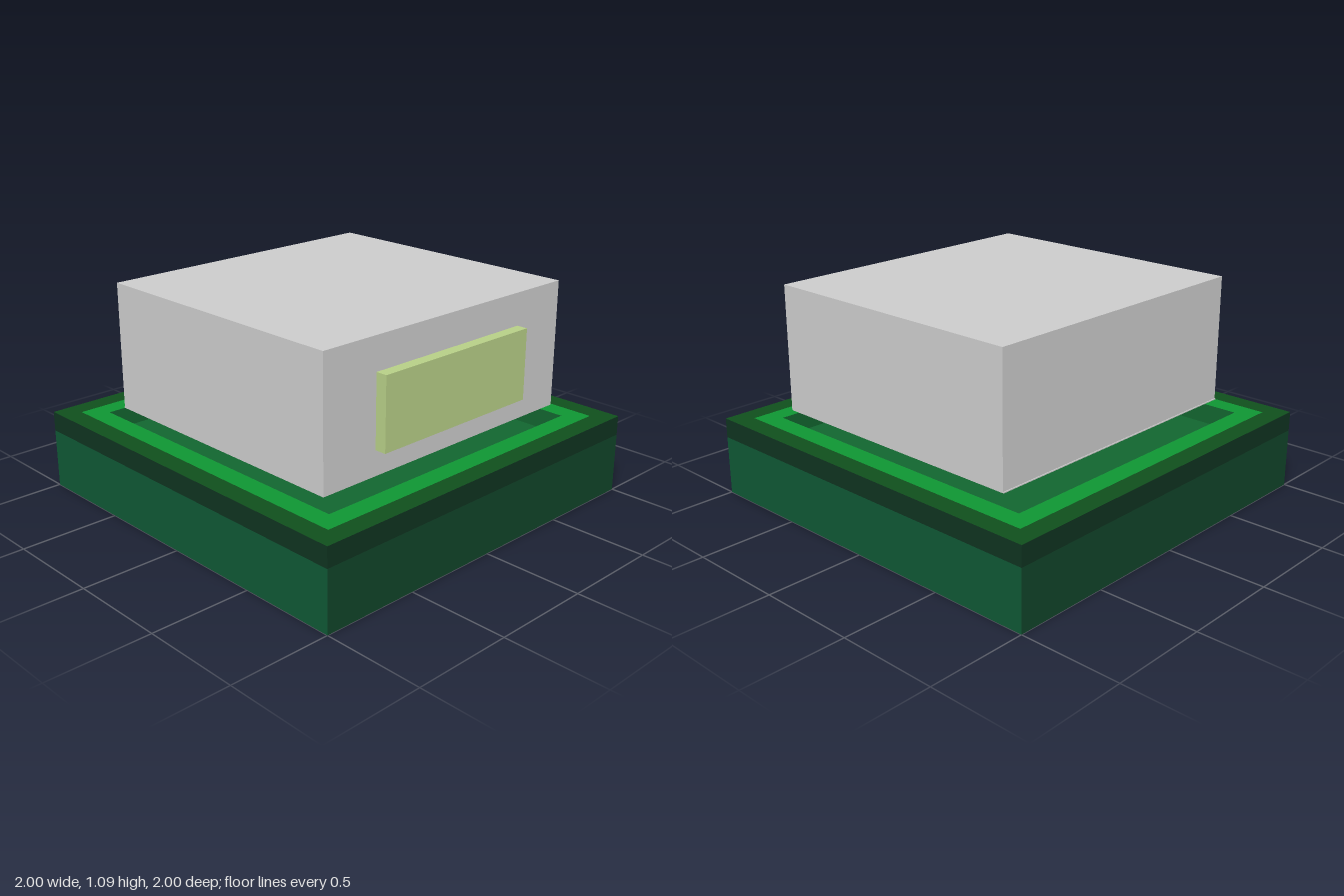
import * as THREE from 'three';

const mat = (color) => new THREE.MeshStandardMaterial({ color, side: THREE.DoubleSide });

function add(parent, name, geometry, material, x = 0, y = 0, z = 0) {
  const mesh = new THREE.Mesh(geometry, material);
  mesh.name = name;
  mesh.position.set(x, y, z);
  parent.add(mesh);
  return mesh;
}

// Four upright sheets around a square of half-width r, from y0 to y1
function squareWalls(parent, name, r, y0, y1, endMat, sideMat) {
  const group = new THREE.Group();
  group.name = name;
  for (let i = 0; i < 4; i++) {
    const a = (i * Math.PI) / 2;
    const wall = add(group, name + 'Panel', new THREE.PlaneGeometry(2 * r, y1 - y0),
      i % 2 ? sideMat : endMat, r * Math.sin(a), (y0 + y1) / 2, r * Math.cos(a));
    wall.rotation.y = a;
  }
  parent.add(group);
}

const square = (shape, r) =>
  shape.moveTo(-r, -r).lineTo(r, -r).lineTo(r, r).lineTo(-r, r).closePath();

// Flat square frame lying at height y
function flatFrame(parent, name, outer, inner, y, material) {
  const shape = square(new THREE.Shape(), outer);
  shape.holes.push(square(new THREE.Path(), inner));
  add(parent, name, new THREE.ShapeGeometry(shape), material, 0, y, 0).rotation.x = -Math.PI / 2;
}

export function createModel() {
  const model = new THREE.Group();
  model.name = 'model';

  // Tray, open underneath
  const tray = new THREE.Group();
  tray.name = 'tray';
  model.add(tray);
  const band = mat(0x0f3320);
  const floorMat = mat(0x12652f);
  squareWalls(tray, 'trayWall', 1, 0, 0.3, mat(0x0f5734), mat(0x104429));
  squareWalls(tray, 'rimBand', 1, 0.3, 0.4, band, band);
  flatFrame(tray, 'outerRim', 1, 0.9, 0.4, mat(0x104f1c));
  flatFrame(tray, 'innerRim', 0.9, 0.8, 0.4, mat(0x0f9533));

  // Sunken tray floor
  squareWalls(tray, 'recessWall', 0.8, 0.3, 0.4, floorMat, floorMat);
  add(tray, 'trayFloor', new THREE.PlaneGeometry(1.6, 1.6), floorMat, 0, 0.3, 0).rotation.x = -Math.PI / 2;

  // Floating block with a thin base plate and a side panel
  const grey = mat(0xcccccc);
  add(model, 'block', new THREE.BoxGeometry(1.435, 0.635, 1.56), grey, 0.0275, 0.7725, 0);
  add(model, 'blockBase', new THREE.BoxGeometry(1.44, 0.005, 1.56), grey, 0.025, 0.4525, 0);
  add(model, 'sidePanel', new THREE.BoxGeometry(0.06, 0.355, 0.945), mat(0xb6ce86), 0.772, 0.75, 0);

  return model;
}
